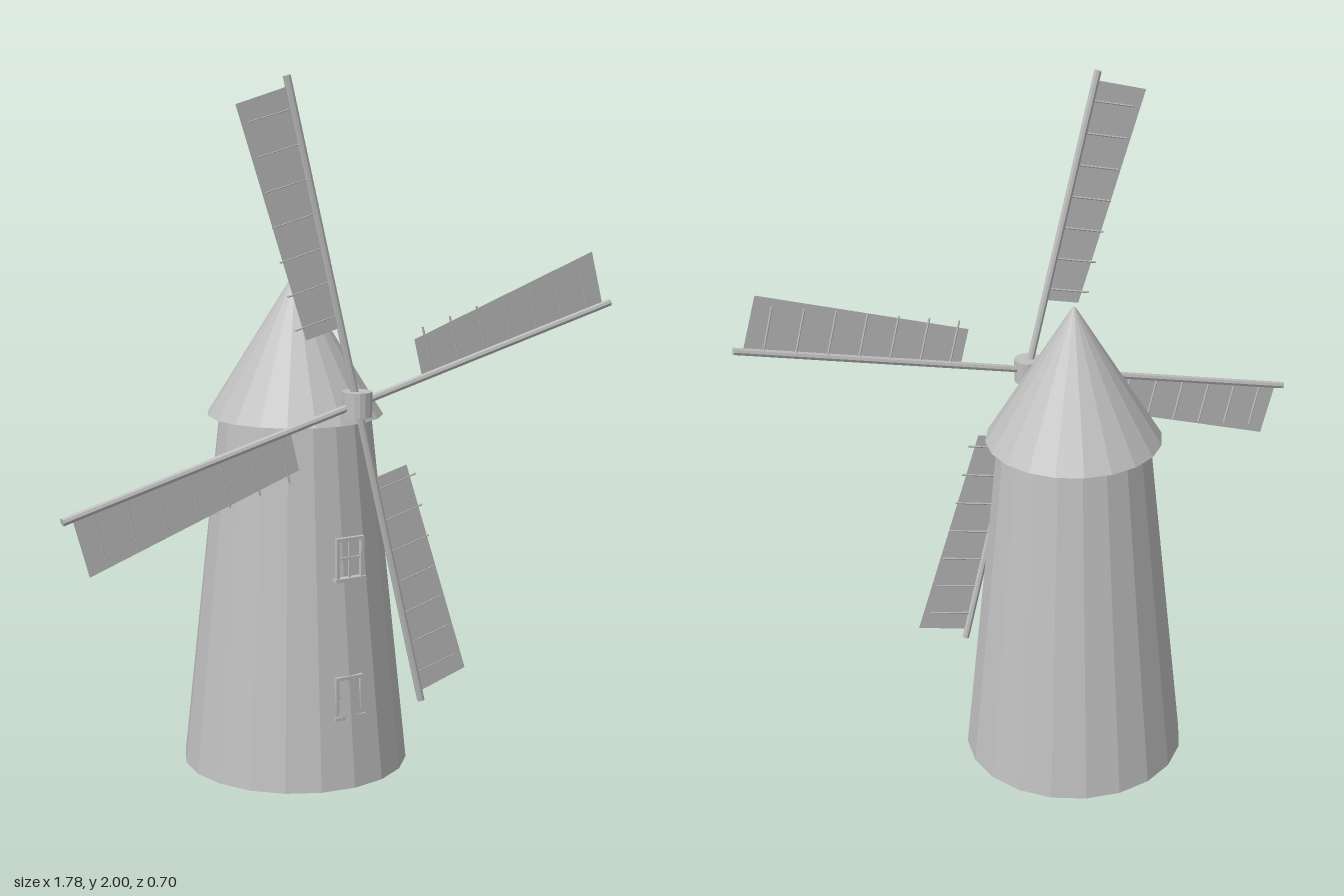
import * as THREE from 'three';

export function createModel() {
  const group = new THREE.Group();
  const stone = new THREE.MeshStandardMaterial({ color: 0xc0c0c0, flatShading: true });
  stone.name = 'grey';
  stone.side = THREE.DoubleSide;

  const add = (parent, name, geometry, x = 0, y = 0, z = 0) => {
    const mesh = new THREE.Mesh(geometry, stone);
    mesh.name = name;
    mesh.position.set(x, y, z);
    parent.add(mesh);
    return mesh;
  };

  // Tapered tower and conical cap
  add(group, 'tower', new THREE.CylinderGeometry(0.22, 0.33, 1.04, 20), 0, 0.52, -0.02);
  add(group, 'cap', new THREE.CylinderGeometry(0.004, 0.255, 0.405, 20), 0, 1.2375, -0.02);

  // Two framed windows, the lower one sunk into the wall
  const addWindow = (name, y) => {
    const w = new THREE.Group();
    w.name = name;
    w.position.set(0, y, 0.275);
    for (const s of [-1, 1]) add(w, 'frameSide', new THREE.BoxGeometry(0.01, 0.12, 0.012), s * 0.04, 0.065, 0);
    add(w, 'frameTop', new THREE.BoxGeometry(0.09, 0.01, 0.012), 0, 0.12, 0);
    add(w, 'sill', new THREE.BoxGeometry(0.1, 0.01, 0.022), 0, 0.005, 0);
    add(w, 'mullion', new THREE.BoxGeometry(0.007, 0.11, 0.006), 0, 0.065, 0);
    add(w, 'transom', new THREE.BoxGeometry(0.08, 0.007, 0.006), 0, 0.065, 0);
    group.add(w);
  };
  addWindow('upperWindow', 0.602);
  addWindow('lowerWindow', 0.198);

  // Rotor: upright hub, spars, sails and battens
  const rotor = new THREE.Group();
  rotor.name = 'rotor';
  rotor.position.set(0, 1.11, 0.31);
  group.add(rotor);
  add(rotor, 'hub', new THREE.CylinderGeometry(0.042, 0.042, 0.07, 16));

  const sailShape = new THREE.Shape();
  sailShape.moveTo(0.222, 0.005);
  sailShape.lineTo(0.887, 0.005);
  sailShape.lineTo(0.882, 0.167);
  sailShape.lineTo(0.222, 0.114);
  sailShape.closePath();
  const sailGeometry = new THREE.ShapeGeometry(sailShape);
  const sparGeometry = new THREE.CylinderGeometry(0.011, 0.011, 0.915, 8).rotateZ(Math.PI / 2);
  const battenGeometry = new THREE.CylinderGeometry(0.003, 0.003, 0.139, 6);

  for (let i = 0; i < 4; i++) {
    const arm = new THREE.Group();
    arm.name = 'arm';
    arm.rotation.z = THREE.MathUtils.degToRad(14.2) + i * Math.PI / 2;
    rotor.add(arm);
    add(arm, 'spar', sparGeometry, 0.4575, 0, 0);
    add(arm, 'sail', sailGeometry, 0, 0, 0.001);
    for (let k = 0; k < 7; k++) add(arm, 'batten', battenGeometry, 0.258 + k * 0.095, 0.0695, -0.001);
  }
  return group;
}
